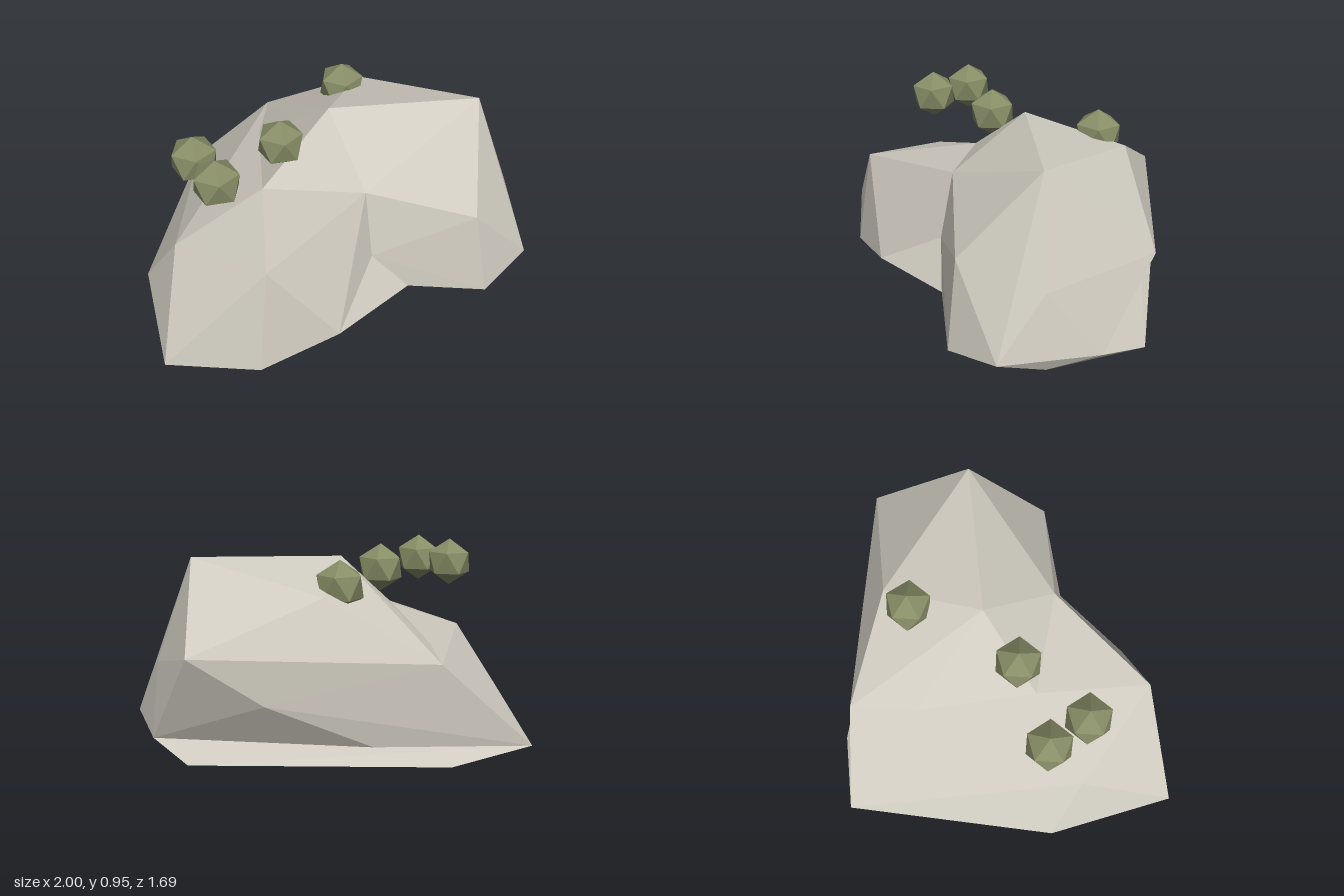
import * as THREE from 'three';
import { ConvexGeometry } from 'three/addons/geometries/ConvexGeometry.js';

// A faceted stone block spanned by its corner points
function stone(name, corners, material) {
  const points = corners.map(([x, y, z]) => new THREE.Vector3(x, y, z));
  const mesh = new THREE.Mesh(new ConvexGeometry(points), material);
  mesh.name = name;
  return mesh;
}

export function createModel() {
  const rock = new THREE.MeshStandardMaterial({ color: 0xcfcbc0 });
  rock.name = 'pale stone';
  const moss = new THREE.MeshStandardMaterial({ color: 0x878d66 });
  moss.name = 'moss green';

  const model = new THREE.Group();
  model.name = 'mossyRock';

  // Corners shared by the two boulders along their seam
  const seam = [
    [-0.38, 0.6, 0.17], [0.12, 0.66, 0.32], [0.15, 0.31, 0.39],
    [-0.33, 0.5, -0.77], [-0.76, 0.1, -0.84],
  ];
  // Corners shared by the two halves of the base
  const keel = [
    [0.34, 0.1, 0.4], [0.05, 0.02, 0.1], [-0.36, 0.03, -0.85], [-0.76, 0.1, -0.84],
  ];

  // Tall boulder
  model.add(stone('tallBoulder', [
    ...seam,
    [0.73, 0.93, -0.06], [-0.03, 0.91, -0.06], [0.17, 0.79, -0.54], // crown
    [0.82, 0.54, -0.56], [0.91, 0.41, -0.05], [0.68, 0.48, 0.34],   // shoulder
    [-0.2, 0.725, -0.24], [0.47, 0.31, -0.62],                      // back bulges
    [1, 0.1, 0.18], [0.96, 0.1, -0.31], [0.34, 0.1, 0.4],           // foot
    [-0.03, 0.1, -0.69], [0.75, 0.03, 0.39], [0.95, 0.03, -0.05],
  ], rock));

  // Low boulder
  model.add(stone('lowBoulder', [
    ...seam,
    [-0.38, 0.56, 0.75], [-0.82, 0.43, 0.36], [-0.57, 0.46, 0.12],  // top
    [-0.52, 0.42, -0.28], [-0.68, 0.27, -0.445], [-0.8, 0.23, -0.14], // back slope
    [-1, 0.1, 0.2], [-0.88, 0.1, 0.84], [-0.04, 0.1, 0.71],         // foot
    [-0.43, 0.02, 0.84], [-0.78, 0.03, 0.3],
  ], rock));

  // Base under the tall boulder, with a thin lip along the back
  model.add(stone('tallBase', [
    ...keel,
    [0.6, 0, -0.42], [0.82, 0.03, -0.54], [0.96, 0.1, -0.31],
    [1, 0.1, 0.18], [0.95, 0.03, -0.05], [0.75, 0.03, 0.39],
  ], rock));

  // Base under the low boulder, rising into the front corner
  model.add(stone('lowBase', [
    ...keel,
    [-0.43, 0.02, 0.84], [-0.88, 0.1, 0.84], [-0.04, 0.1, 0.71],
    [-1, 0.1, 0.2], [-0.78, 0.03, 0.3], [0.15, 0.31, 0.39],
  ], rock));

  // Moss tufts: icosahedra standing on a corner
  const tuft = new THREE.IcosahedronGeometry(0.126, 0);
  tuft.rotateX(-Math.atan2((1 + Math.sqrt(5)) / 2, 1));
  tuft.rotateY(Math.PI / 20);
  [[-0.7, 0.185], [-0.59, 0.385], [-0.28, 0.085], [0.065, -0.42]].forEach(([x, z], i) => {
    const mesh = new THREE.Mesh(tuft, moss);
    mesh.name = `mossTuft${i + 1}`;
    mesh.position.set(x, 0.82, z);
    model.add(mesh);
  });

  return model;
}
